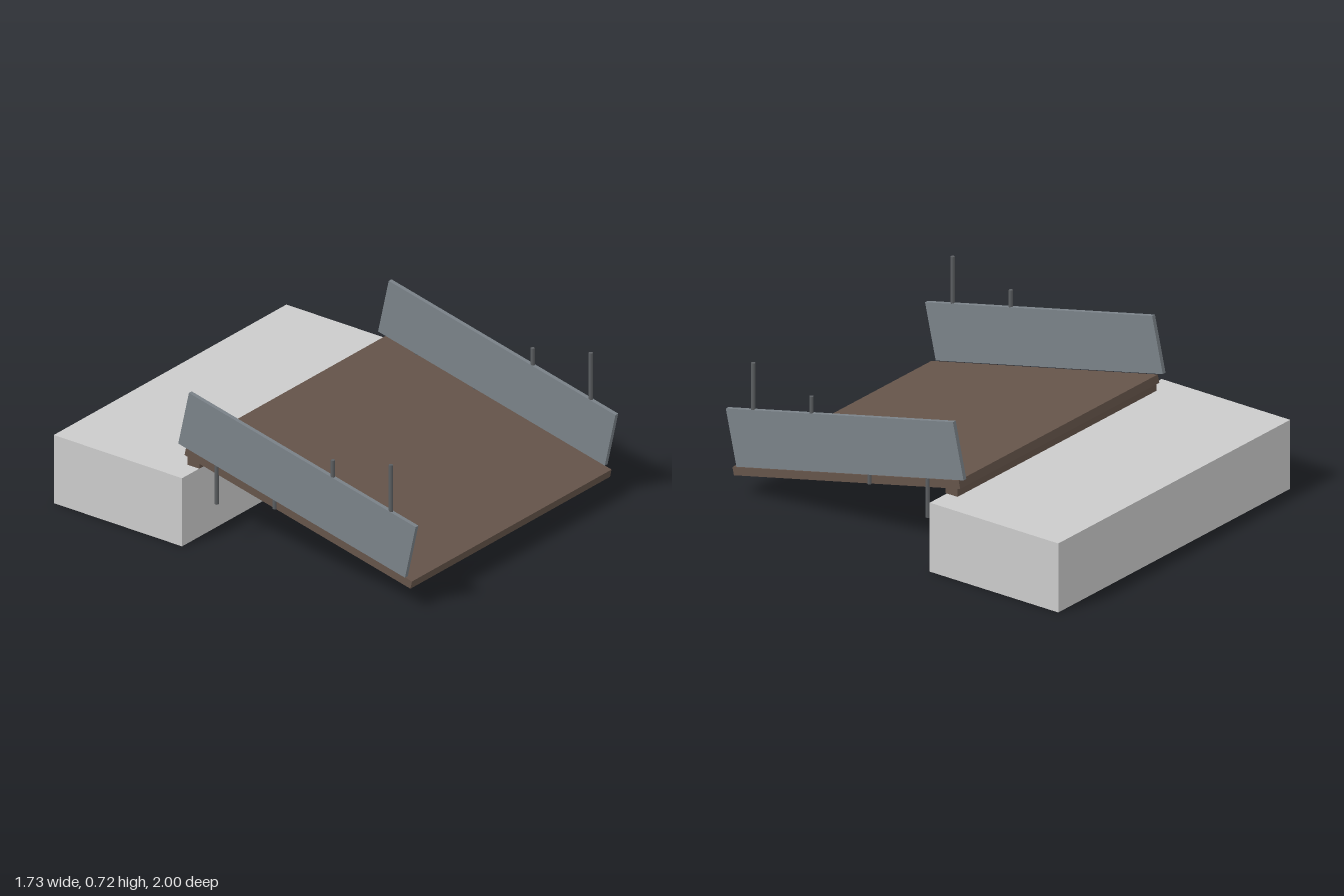
import * as THREE from 'three';

const SLOPE = 0.22; // ramp pitch in radians, low end at the front

export function createModel() {
  const model = new THREE.Group();
  const grey = new THREE.MeshStandardMaterial({ color: 0xcccccc });
  const wood = new THREE.MeshStandardMaterial({ color: 0x65544a });
  const steel = new THREE.MeshStandardMaterial({ color: 0x7a8288 });
  const darkSteel = new THREE.MeshStandardMaterial({ color: 0x5c5f62 });

  function add(name, geometry, material, x, y, z, tilt = 0) {
    const mesh = new THREE.Mesh(geometry, material);
    mesh.name = name;
    mesh.position.set(x, y, z);
    mesh.rotation.x = tilt;
    model.add(mesh);
  }

  // Raised platform behind the ramp
  add('platform', new THREE.BoxGeometry(1.73, 0.345, 0.74), grey, 0, 0.1725, -0.63);

  // Sloping deck and the ledge that rests on the platform
  add('rampDeck', new THREE.BoxGeometry(1.485, 0.04, 1.335), wood, 0, 0.266, 0.315, SLOPE);
  add('restingLedge', new THREE.BoxGeometry(1.485, 0.045, 0.07), wood, 0, 0.3705, -0.29);

  // Side panels and upright posts, mirrored left and right
  const panel = new THREE.BoxGeometry(0.021, 0.281, 1.34);
  const post = new THREE.CylinderGeometry(0.01, 0.01, 0.27, 8);
  for (const [label, side] of [['left', 1], ['right', -1]]) {
    add(label + 'SidePanel', panel, steel, side * 0.743, 0.437, 0.316, SLOPE);
    for (let i = 0; i < 4; i++) {
      add(label + 'Post' + (i + 1), post, darkSteel, side * 0.743, 0.335 + i * 0.075, -0.155 + i * 0.335);
    }
  }
  return model;
}
